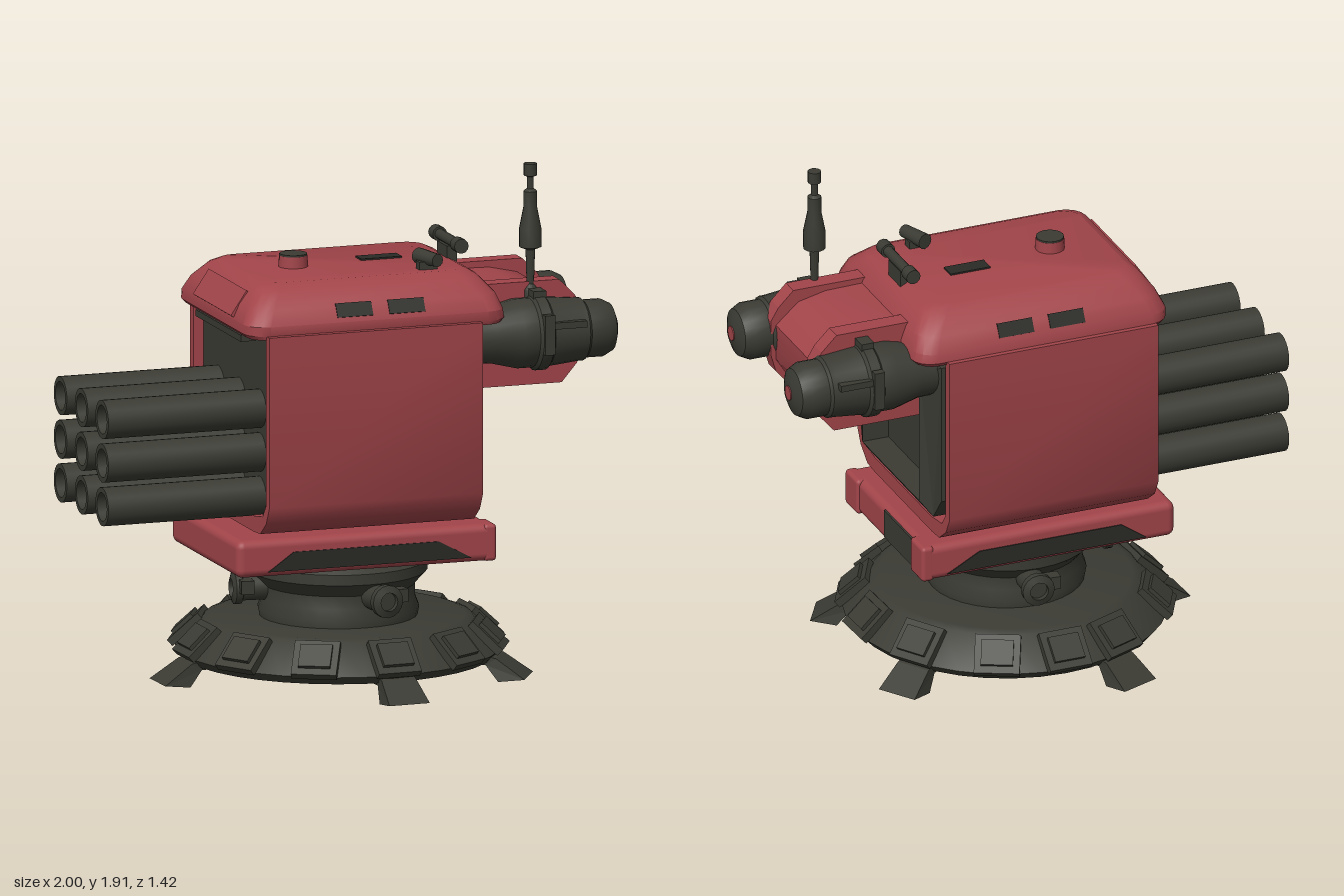
import * as THREE from 'three';
import { toCreasedNormals } from 'three/addons/utils/BufferGeometryUtils.js';
import { RoundedBoxGeometry } from 'three/addons/geometries/RoundedBoxGeometry.js';

const paint = (name, color) => Object.assign(new THREE.MeshStandardMaterial({ color }), { name });

export function createModel() {
  const red = paint('red armour', 0xa2454a);
  const dark = paint('dark metal', 0x3b3b34);
  const slot = paint('slot black', 0x2a2a26);
  const model = new THREE.Group();

  const add = (name, geo, mat, x = 0, y = 0, z = 0, parent = model) => {
    const m = new THREE.Mesh(geo, mat);
    m.name = name;
    m.position.set(x, y, z);
    parent.add(m);
    return m;
  };
  const box = (name, mat, w, h, d, x, y, z, parent) =>
    add(name, new THREE.BoxGeometry(w, h, d), mat, x, y, z, parent);
  const vec = (pts) => pts.map(([a, b]) => new THREE.Vector2(a, b));
  // turned part, profile of [radius, height]
  const lathe = (pts, n = 28) => toCreasedNormals(new THREE.LatheGeometry(vec(pts), n), 0.6);
  const latheX = (pts, n) => lathe(pts, n).rotateZ(-Math.PI / 2);
  // outline in [x, y], extruded along z from z0 to z1
  const extrudeZ = (pts, z0, z1) =>
    new THREE.ExtrudeGeometry(new THREE.Shape(vec(pts)), { depth: z1 - z0, bevelEnabled: false }).translate(0, 0, z0);
  // outline in [z, y] with optional hole, extruded along x from x0 to x1
  const extrudeX = (pts, x0, x1, hole) => {
    const flip = (p) => vec(p.map(([z, y]) => [-z, y]));
    const s = new THREE.Shape(flip(pts));
    if (hole) s.holes.push(new THREE.Path(flip(hole)));
    return new THREE.ExtrudeGeometry(s, { depth: x1 - x0, bevelEnabled: false }).rotateY(Math.PI / 2).translate(x0, 0, 0);
  };
  // stack of rounded rectangles [y, x0, x1, z0, z1, radius], capped at both ends
  const loft = (levels) => {
    const pos = [], idx = [], per = 20;
    for (const [y, x0, x1, z0, z1, r] of levels)
      for (let c = 0; c < 4; c++)
        for (let i = 0; i < 5; i++) {
          const a = (c + i / 4) * Math.PI / 2;
          const cx = c === 0 || c === 3 ? x1 - r : x0 + r, cz = c < 2 ? z1 - r : z0 + r;
          pos.push(cx + r * Math.cos(a), y, cz + r * Math.sin(a));
        }
    for (let l = 0; l < levels.length - 1; l++)
      for (let i = 0; i < per; i++) {
        const a = l * per + i, b = l * per + (i + 1) % per;
        idx.push(a, a + per, b, b, a + per, b + per);
      }
    const top = (levels.length - 1) * per;
    for (let i = 1; i < per - 1; i++) idx.push(0, i, i + 1, top, top + i + 1, top + i);
    const g = new THREE.BufferGeometry();
    g.setAttribute('position', new THREE.Float32BufferAttribute(pos, 3));
    g.setIndex(idx);
    return toCreasedNormals(g, 0.5);
  };

  // base disc and turning neck
  add('baseDisc', lathe([[0, 0.07], [0.58, 0.07], [0.605, 0.1], [0.5, 0.21], [0.47, 0.22], [0, 0.22]], 36), dark);
  add('neck', lathe([[0.29, 0.2], [0.3, 0.25], [0.285, 0.29], [0.285, 0.34], [0.31, 0.37], [0.33, 0.39], [0.33, 0.43], [0.29, 0.46], [0, 0.46]], 32), dark);

  // skirt plates round the disc, with five feet
  const spoke = (name, deg) => {
    const g = new THREE.Group();
    g.name = name;
    g.rotation.y = -deg * Math.PI / 180;
    model.add(g);
    return g;
  };
  for (const deg of [88, 118, 148, 178, 208, 247, 270, 296, 328, 358, 28, 58]) {
    const g = spoke('skirtPlate', deg);
    const p = box('plate', dark, 0.155, 0.03, 0.17, 0.562, 0.157, 0, g);
    const q = box('plateCover', dark, 0.1, 0.02, 0.12, 0.575, 0.172, 0, g);
    p.rotation.z = q.rotation.z = -0.75;
  }
  const footSide = [[0.5, 0.11], [0.61, 0.085], [0.72, 0.012], [0.62, 0], [0.57, 0.06], [0.5, 0.06]];
  for (const deg of [88, 31, -33, -111, 178]) {
    const geo = extrudeZ(footSide, -0.08, 0.08);
    const p = geo.attributes.position;
    for (let i = 0; i < p.count; i++) if (p.getY(i) > 0.05) p.setZ(i, p.getZ(i) * 0.85);
    geo.computeVertexNormals();
    add('foot', geo, dark, 0, 0, 0, spoke('footArm', deg));
  }
  // round fittings on the neck
  for (const deg of [82, 186, 275]) {
    const g = spoke('neckFitting', deg);
    add('fittingDrum', latheX([[0.05, 0.27], [0.05, 0.37], [0.062, 0.375], [0.062, 0.4], [0.035, 0.41], [0.035, 0.39], [0, 0.39]], 16), dark, 0, 0.335, 0, g);
    box('fittingLug', dark, 0.05, 0.05, 0.06, 0.365, 0.35, -0.06, g);
  }

  // lower tray
  add('tray', new RoundedBoxGeometry(1.01, 0.14, 0.74, 3, 0.03), red, -0.015, 0.52, -0.02);
  for (const s of [1, -1]) {
    const z = -0.02 + s * 0.37;
    add('traySlot', extrudeZ([[-0.4, 0.47], [0.4, 0.47], [0.27, 0.54], [-0.3, 0.54]], z - 0.004, z + 0.004), slot);
  }
  box('trayEndPatch', dark, 0.008, 0.11, 0.26, 0.49, 0.525, -0.14);
  for (const z of [0.29, -0.33]) add('trayBumper', new RoundedBoxGeometry(0.05, 0.14, 0.12, 2, 0.015), red, 0.475, 0.52, z);

  // armoured shell, open at both ends
  const ring = (t) => {
    const a = 0.42 - t, b = -0.46 + t, y = 0.605 + t;
    return [[a, 1.37], [a, 0.725], [a - 0.035, 0.66], [a - 0.1, y + 0.005], [0.25, y], [-0.29, y], [b + 0.1, y + 0.005], [b + 0.035, 0.66], [b, 0.725], [b, 1.37]];
  };
  const inner = ring(0.04).map(([z, y], i) => [z, i === 0 || i === 9 ? 1.36 : y + (y < 0.67 ? 0.02 : 0)]);
  add('shell', toCreasedNormals(extrudeX(ring(0), -0.42, 0.42, inner), 0.65), red);
  add('core', extrudeX(inner, -0.38, 0.33), dark);
  const frameOut = [[0.365, 1.33], [0.365, 0.78], [0.29, 0.685], [-0.33, 0.685], [-0.405, 0.78], [-0.405, 1.33]];
  const frameIn = [[0.25, 1.28], [0.25, 0.74], [-0.29, 0.74], [-0.29, 1.28]];
  const frame = extrudeX(frameOut, 0.3, 0.47, frameIn);
  const fp = frame.attributes.position;
  for (let i = 0; i < fp.count; i++) {
    if (fp.getX(i) > 0.4 && fp.getZ(i) > 0.27) fp.setX(i, 0.43);
    if (fp.getX(i) > 0.4 && fp.getZ(i) < -0.31) fp.setX(i, 0.43);
  }
  frame.computeVertexNormals();
  add('hatchFrame', frame, dark);
  box('hatchPanel', dark, 0.03, 0.34, 0.54, 0.35, 0.91, -0.02);

  // roof cap
  add('roof', loft([
    [1.355, -0.47, 0.52, -0.43, 0.39, 0.07], [1.37, -0.485, 0.535, -0.44, 0.395, 0.08], [1.405, -0.485, 0.53, -0.435, 0.395, 0.08],
    [1.46, -0.46, 0.51, -0.405, 0.365, 0.08], [1.52, -0.415, 0.46, -0.34, 0.295, 0.08], [1.54, -0.38, 0.42, -0.3, 0.25, 0.07]]), red);
  for (const [z, s] of [[0.372, 1], [-0.412, -1]])
    for (const x of [-0.07, 0.135]) box('roofVent', slot, 0.14, 0.055, 0.009, x, 1.445, z, model).rotation.x = -s * 0.5;
  box('roofEndPlate', red, 0.03, 0.11, 0.42, -0.45, 1.455, -0.01).rotation.z = -0.6;
  box('shellHook', dark, 0.06, 0.025, 0.5, -0.435, 1.335, -0.02);

  // roof fittings
  add('roofKnob', new THREE.CylinderGeometry(0.053, 0.055, 0.045, 16), red, -0.17, 1.56, -0.02);
  add('roofKnobCap', new THREE.CylinderGeometry(0.052, 0.052, 0.008, 16), dark, -0.17, 1.585, -0.02);
  box('roofSlot', slot, 0.16, 0.008, 0.065, 0.18, 1.542, -0.06);
  add('railBar', new THREE.CylinderGeometry(0.02, 0.02, 0.28, 12).rotateX(Math.PI / 2), dark, 0.44, 1.6, -0.02);
  for (const z of [0.1, -0.14]) add('railCap', new THREE.CylinderGeometry(0.028, 0.028, 0.05, 12).rotateX(Math.PI / 2), dark, 0.44, 1.6, z);
  box('railMount', dark, 0.04, 0.07, 0.11, 0.435, 1.55, -0.02);
  const lamp = add('roofLamp', new THREE.CylinderGeometry(0.025, 0.03, 0.12, 12).rotateX(Math.PI / 2), dark, 0.285, 1.58, 0.19);
  lamp.rotation.y = 0.3;
  box('roofLampMount', dark, 0.07, 0.04, 0.04, 0.28, 1.55, 0.19);

  // rocket tubes, three by three
  const tube = latheX([[0, -0.9], [0.054, -0.9], [0.054, -1], [0.073, -1], [0.073, -0.36]], 20);
  for (const y of [1.06, 0.895, 0.73]) for (const z of [0.2, -0.028, -0.26]) add('rocketTube', tube, dark, 0, y, z);

  // sensor pod
  const podSide = [[0.42, 1.08], [0.8, 1.08], [0.86, 1.15], [0.88, 1.22], [0.88, 1.36], [0.85, 1.41], [0.79, 1.47], [0.42, 1.47]];
  const podMid = [[0.42, 1.09], [0.79, 1.09], [0.86, 1.2], [0.86, 1.34], [0.77, 1.42], [0.66, 1.445], [0.42, 1.45]];
  add('podRailLeft', extrudeZ(podSide, 0.15, 0.22), red);
  add('podRailRight', extrudeZ(podSide, -0.26, -0.19), red);
  add('podCentre', toCreasedNormals(extrudeZ(podMid, -0.2, 0.16), 0.7), red);

  // twin barrels beside the pod
  const barrel = latheX([[0, 0.38], [0.1, 0.38], [0.105, 0.5], [0.13, 0.6], [0.13, 0.66], [0.142, 0.67], [0.142, 0.71], [0.13, 0.72],
    [0.118, 0.84], [0.118, 0.86], [0.108, 0.87], [0.108, 0.94], [0.09, 0.975], [0.05, 0.992], [0, 0.996]], 24);
  for (const [z, s] of [[0.255, 1], [-0.288, -1]]) {
    add('barrel', barrel, dark, 0, 1.285, z);
    add('barrelLens', new THREE.CylinderGeometry(0.028, 0.028, 0.006, 16).rotateZ(-Math.PI / 2), red, 0.995, 1.285, z);
    box('barrelClamp', dark, 0.04, 0.15, 0.03, 0.69, 1.3, z + s * 0.135);
    box('barrelRib', dark, 0.14, 0.025, 0.03, 0.77, 1.33, z + s * 0.12);
    box('barrelBracket', dark, 0.05, 0.05, 0.07, 0.69, 1.42, z);
  }

  // antenna
  add('antenna', lathe([[0, 1.4], [0.028, 1.4], [0.028, 1.44], [0.014, 1.46], [0.018, 1.59], [0.042, 1.6], [0.042, 1.67],
    [0.026, 1.75], [0.026, 1.81], [0.013, 1.82], [0.013, 1.865], [0.025, 1.87], [0.025, 1.915], [0, 1.915]], 12), dark, 0.68, 0, 0.21);
  return model;
}
